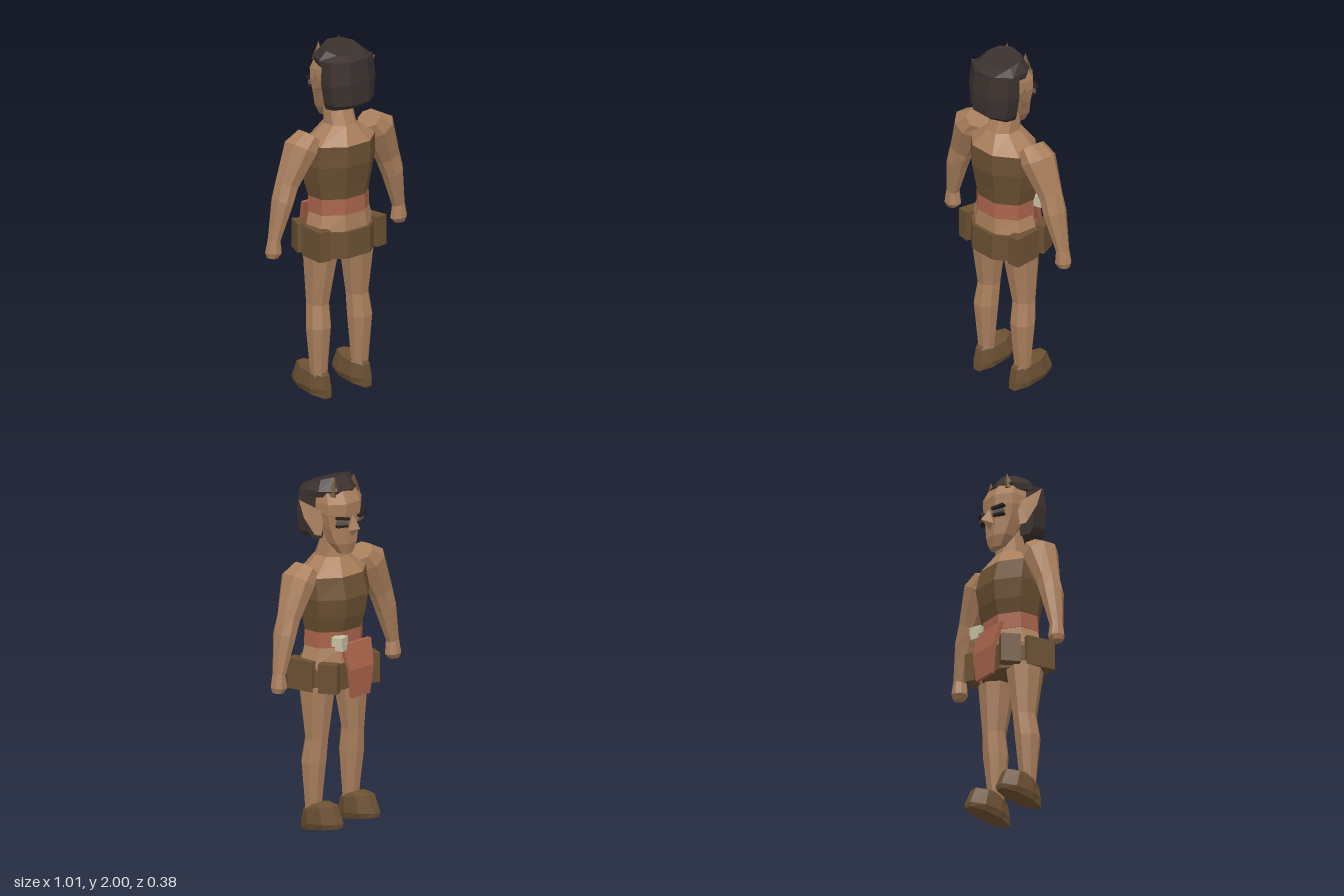
import * as THREE from 'three';

const mat = (name, color, extra = {}) =>
  Object.assign(new THREE.MeshStandardMaterial({ color, flatShading: true, ...extra }), { name });

// Closed loft through rings listed bottom to top:
// [cx, cy, cz, rx, rz, slopeZ, slopeX] (half extents, slopes tilt the ring)
function loft(rings, sides = 8) {
  const pos = [], k = 1 / Math.cos(Math.PI / sides);
  const pts = rings.map(([cx, cy, cz, rx, rz, sz = 0, sx = 0]) =>
    Array.from({ length: sides }, (_, i) => {
      const a = ((i + 0.5) / sides) * Math.PI * 2;
      const dx = Math.cos(a) * rx * k, dz = Math.sin(a) * rz * k;
      return [cx + dx, cy + dz * sz + dx * sx, cz + dz];
    }));
  const tri = (...p) => p.forEach((q) => pos.push(...q));
  for (let r = 0; r < rings.length - 1; r++) {
    for (let i = 0; i < sides; i++) {
      const j = (i + 1) % sides, b = pts[r], t = pts[r + 1];
      tri(b[i], t[i], b[j]);
      tri(b[j], t[i], t[j]);
    }
  }
  const last = rings.length - 1, c0 = rings[0].slice(0, 3), c1 = rings[last].slice(0, 3);
  for (let i = 0; i < sides; i++) {
    const j = (i + 1) % sides;
    tri(c0, pts[0][i], pts[0][j]);
    tri(c1, pts[last][j], pts[last][i]);
  }
  return fromPositions(pos);
}

function fromPositions(pos) {
  const g = new THREE.BufferGeometry();
  g.setAttribute('position', new THREE.Float32BufferAttribute(pos, 3));
  g.computeVertexNormals();
  return g;
}

// Small solid from corner points and triangles
const facets = (pts, tris) => fromPositions(tris.flat().flatMap((i) => pts[i]));

// Ring from y, half width, front z and back z
const band = (y, rx, zf, zb, slope = 0) => [0, y, (zf + zb) / 2, rx, (zb - zf) / 2, slope];

export function createModel() {
  const root = new THREE.Group();
  const skin = mat('skin', 0xaa7f5c);
  const thinSkin = mat('ear skin', 0xaa7f5c, { side: THREE.DoubleSide });
  const leather = mat('brown leather', 0x6b5032);
  const hairMat = mat('dark hair', 0x3b312e);
  const red = mat('red cloth', 0xa8634a);
  const bone = mat('bone', 0xc6c0a2);
  const dark = mat('dark eye', 0x26211f);
  const grey = mat('grey eye', 0x5c5654);

  const add = (name, geo, material, p = [0, 0, 0], r = [0, 0, 0]) => {
    const m = new THREE.Mesh(geo, material);
    m.name = name;
    m.position.set(...p);
    m.rotation.set(...r);
    root.add(m);
    return m;
  };
  const box = (...s) => new THREE.BoxGeometry(...s);

  // Torso, from hips to neck
  add('hips', loft([band(0.82, 0.17, -0.1, 0.13), band(0.95, 0.2, -0.125, 0.155), band(1.05, 0.17, -0.12, 0.145)]), skin);
  add('belt', loft([band(1.05, 0.174, -0.125, 0.148), band(1.14, 0.172, -0.125, 0.143)]), red);
  add('vest', loft([band(1.14, 0.172, -0.125, 0.143), band(1.22, 0.19, -0.15, 0.155),
    band(1.33, 0.208, -0.165, 0.175), band(1.45, 0.2, -0.135, 0.175)]), leather);
  add('neck', loft([band(1.45, 0.199, -0.134, 0.174), band(1.545, 0.085, -0.07, 0.11),
    band(1.68, 0.078, -0.06, 0.055)]), skin);

  // Skirt with overlapping flaps
  add('skirt', loft([band(0.81, 0.2, -0.125, 0.175), band(0.96, 0.2, -0.125, 0.175)]), leather);

  // Head, jaw to crown
  add('head', loft([band(1.57, 0.045, -0.115, -0.04), band(1.63, 0.085, -0.13, 0.01),
    band(1.72, 0.115, -0.128, 0.06), band(1.8, 0.135, -0.135, 0.08), band(1.86, 0.135, -0.138, 0.08),
    band(1.925, 0.12, -0.105, 0.08), band(1.96, 0.08, -0.06, 0.05)]), skin);
  add('nose', facets(
    [[0, 1.8, -0.13], [0.032, 1.7, -0.12], [0, 1.665, -0.125], [-0.032, 1.7, -0.12], [0, 1.72, -0.188]],
    [[0, 1, 4], [1, 2, 4], [2, 3, 4], [3, 0, 4]]), mat('nose skin', 0xaa7f5c, { side: THREE.DoubleSide }));

  // Hair: a long back section under a tilted cap
  add('hairBack', loft([band(1.65, 0.125, 0.0, 0.155, 0.1), band(1.685, 0.148, 0.0, 0.188),
    band(1.8, 0.163, -0.01, 0.188), band(1.925, 0.155, -0.01, 0.172)]), hairMat);
  add('hairCap', loft([band(1.895, 0.15, -0.09, 0.172), band(1.928, 0.154, -0.108, 0.172),
    band(1.975, 0.11, -0.055, 0.125, -0.28)], 9), hairMat);

  for (const s of [1, -1]) {
    const side = s > 0 ? 'left' : 'right';

    // Arm, hand to shoulder
    add(side + 'Arm', loft([
      [0.468, 0.857, -0.01, 0.03, 0.028, 0, 0.1], [0.46, 0.885, -0.01, 0.046, 0.042, 0, 0.1],
      [0.457, 0.96, -0.008, 0.032, 0.036, 0, 0.3], [0.405, 1.165, 0, 0.053, 0.062, 0, 0.45],
      [0.37, 1.26, 0, 0.06, 0.06, 0, 0.5], [0.28, 1.45, 0.012, 0.08, 0.092, 0, 0.6],
      [0.222, 1.508, 0.012, 0.043, 0.072, 0, 0.88],
    ].map(([x, y, z, a, b, sz, sx]) => [x * s, y, z, a, b, sz, sx * s])), skin);

    // Leg, ankle to hip
    add(side + 'Leg', loft([
      [0.15 * s, 0.12, 0.018, 0.048, 0.037], [0.152 * s, 0.4, 0.015, 0.068, 0.066],
      [0.145 * s, 0.53, 0, 0.06, 0.062], [0.132 * s, 0.83, 0.01, 0.093, 0.1],
    ]), skin);

    // Boot with a rising toe
    add(side + 'Boot', loft([
      [0.148 * s, 0.025, -0.042, 0.053, 0.132, -0.18], [0.148 * s, 0.06, -0.045, 0.066, 0.132, -0.1],
      [0.148 * s, 0.148, -0.032, 0.06, 0.105, -0.22], [0.148 * s, 0.165, -0.012, 0.045, 0.062, -0.3],
    ]), leather);

    // Skirt flaps at the side and front corner
    add(side + 'SkirtFlap', box(0.075, 0.17, 0.17), leather, [0.198 * s, 0.895, 0.05], [0, 0.12 * s, 0]);
    add(side + 'FrontFlap', box(0.06, 0.165, 0.11), leather, [0.17 * s, 0.895, -0.115], [0, 0.45 * s, 0]);

    // Pointed ear
    add(side + 'Ear', facets(
      [[0.12, 1.81, -0.035], [0.14, 1.68, -0.03], [0.165, 1.685, -0.005], [0.21, 1.785, 0.035],
        [0.225, 1.885, 0.058], [0.16, 1.75, -0.005], [0.13, 1.77, 0.03]].map(([x, y, z]) => [x * s, y, z]),
      [[0, 1, 5], [1, 2, 5], [2, 3, 5], [3, 4, 5], [4, 0, 5], [0, 4, 6], [4, 3, 6], [3, 2, 6], [2, 1, 6]]), thinSkin);

    // Horn
    add(side + 'Horn', new THREE.ConeGeometry(0.036, 0.1, 5), leather, [0.08 * s, 1.95, -0.066], [-0.1, 0, 0.1 * s]);

    // Eye with lids and brow
    const turn = [0, -0.42 * s, 0];
    add(side + 'Brow', box(0.075, 0.014, 0.03), dark, [0.075 * s, 1.782, -0.128], [0, -0.42 * s, 0.12 * s]);
    add(side + 'Eye', box(0.06, 0.02, 0.022), grey, [0.073 * s, 1.757, -0.124], turn);
    add(side + 'LowerLid', box(0.066, 0.012, 0.028), dark, [0.073 * s, 1.738, -0.122], turn);
  }

  // Loincloth: a bent hanging panel
  const cloth = new THREE.Shape();
  [[-0.15, 1.07], [-0.188, 0.93], [-0.183, 0.77], [-0.163, 0.77], [-0.166, 0.93], [-0.125, 1.07]]
    .forEach(([z, y], i) => (i ? cloth.lineTo(-z, y) : cloth.moveTo(-z, y)));
  const clothGeo = new THREE.ExtrudeGeometry(cloth, { depth: 0.23, bevelEnabled: false });
  clothGeo.rotateY(Math.PI / 2).translate(-0.13, 0, 0);
  // Narrow the hem
  const p = clothGeo.attributes.position;
  for (let i = 0; i < p.count; i++) {
    p.setX(i, -0.015 + (p.getX(i) + 0.015) * (0.62 + 0.38 * (p.getY(i) - 0.77) / 0.3));
  }
  clothGeo.computeVertexNormals();
  add('loincloth', clothGeo, red);

  // Bone charm on the belt
  add('charmTop', box(0.075, 0.05, 0.065), bone, [0.105, 1.095, -0.133], [0, 0.3, 0]);
  add('charmJaw', box(0.05, 0.04, 0.05), bone, [0.105, 1.065, -0.143], [0, 0.3, 0]);

  return root;
}
